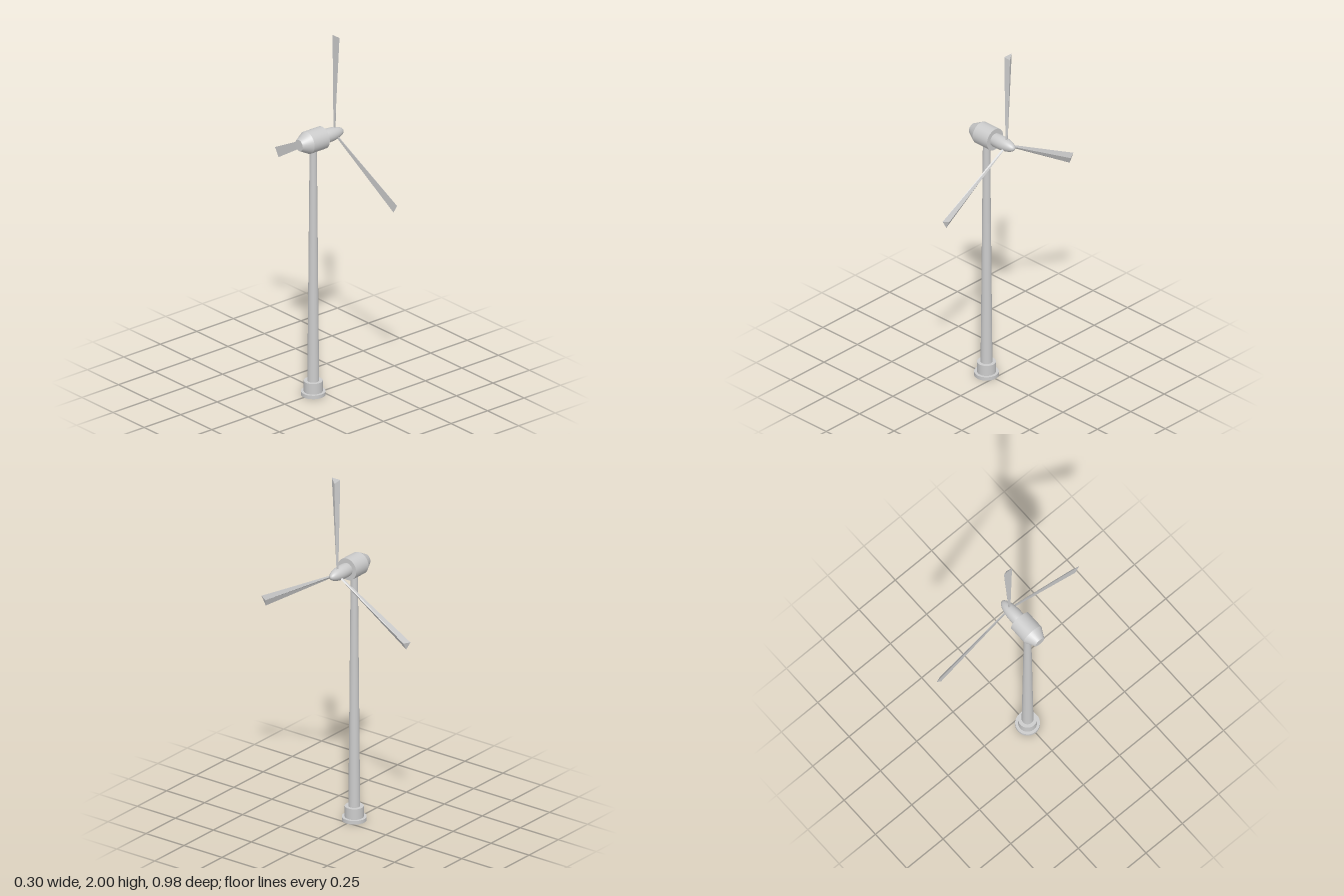
import * as THREE from 'three';

const TOWER_X = -0.055, HUB_Y = 1.45;

export function createModel() {
  const group = new THREE.Group();
  const grey = new THREE.MeshStandardMaterial({ color: 0xcccccc });
  const flatGrey = new THREE.MeshStandardMaterial({ color: 0xcccccc, flatShading: true });

  const add = (name, geometry, material = grey, parent = group) => {
    const mesh = new THREE.Mesh(geometry, material);
    mesh.name = name;
    parent.add(mesh);
    return mesh;
  };

  // Upright stack: foot plate, collar and tapered tower
  const upright = (name, rTop, rBottom, y0, y1) =>
    add(name, new THREE.CylinderGeometry(rTop, rBottom, y1 - y0, 32)
      .translate(TOWER_X, (y0 + y1) / 2, 0));
  upright('footPlate', 0.065, 0.065, 0, 0.02);
  upright('collar', 0.05, 0.05, 0.02, 0.08);
  upright('tower', 0.019, 0.031, 0.08, 1.42);

  // Nacelle: drum with a cone-shaped tail, lying along x
  const lying = (name, rFront, rBack, x0, x1) =>
    add(name, new THREE.CylinderGeometry(rFront, rBack, x1 - x0, 32, 1, false)
      .rotateZ(-Math.PI / 2).translate((x0 + x1) / 2, HUB_Y, 0));
  lying('nacelleBody', 0.061, 0.061, -0.097, 0.007);
  lying('nacelleTail', 0.061, 0.031, -0.153, -0.097);

  // Egg-shaped spinner
  add('spinner', new THREE.SphereGeometry(1, 32, 24).rotateZ(-Math.PI / 2)
    .scale(0.108, 0.038, 0.038).translate(0.041, HUB_Y, 0));

  // Three blades around the hub
  const rotor = new THREE.Group();
  rotor.name = 'rotor';
  rotor.position.y = HUB_Y;
  group.add(rotor);
  for (let i = 0; i < 3; i++) {
    const blade = add('blade' + (i + 1), bladeGeometry(), flatGrey, rotor);
    blade.rotation.x = i * Math.PI * 2 / 3;
  }
  return group;
}

// Blade: triangular section, flat behind with a ridge in front, widening to a slanted tip
function bladeGeometry() {
  const section = (yBack, yRidge, xBack, xRidge, halfWidth) => [
    [xBack, yBack, halfWidth], [xRidge, yRidge, 0], [xBack, yBack, -halfWidth],
  ];
  const points = [
    ...section(0, 0, 0.088, 0.097, 0.005),
    ...section(0.55, 0.525, 0.101, 0.115, 0.028),
  ];
  const index = [0, 2, 1, 3, 4, 5];
  for (let i = 0; i < 3; i++) {
    const j = (i + 1) % 3;
    index.push(i, j, j + 3, i, j + 3, i + 3);
  }
  const geometry = new THREE.BufferGeometry();
  geometry.setAttribute('position', new THREE.Float32BufferAttribute(points.flat(), 3));
  geometry.setIndex(index);
  const flat = geometry.toNonIndexed();
  flat.computeVertexNormals();
  return flat;
}
